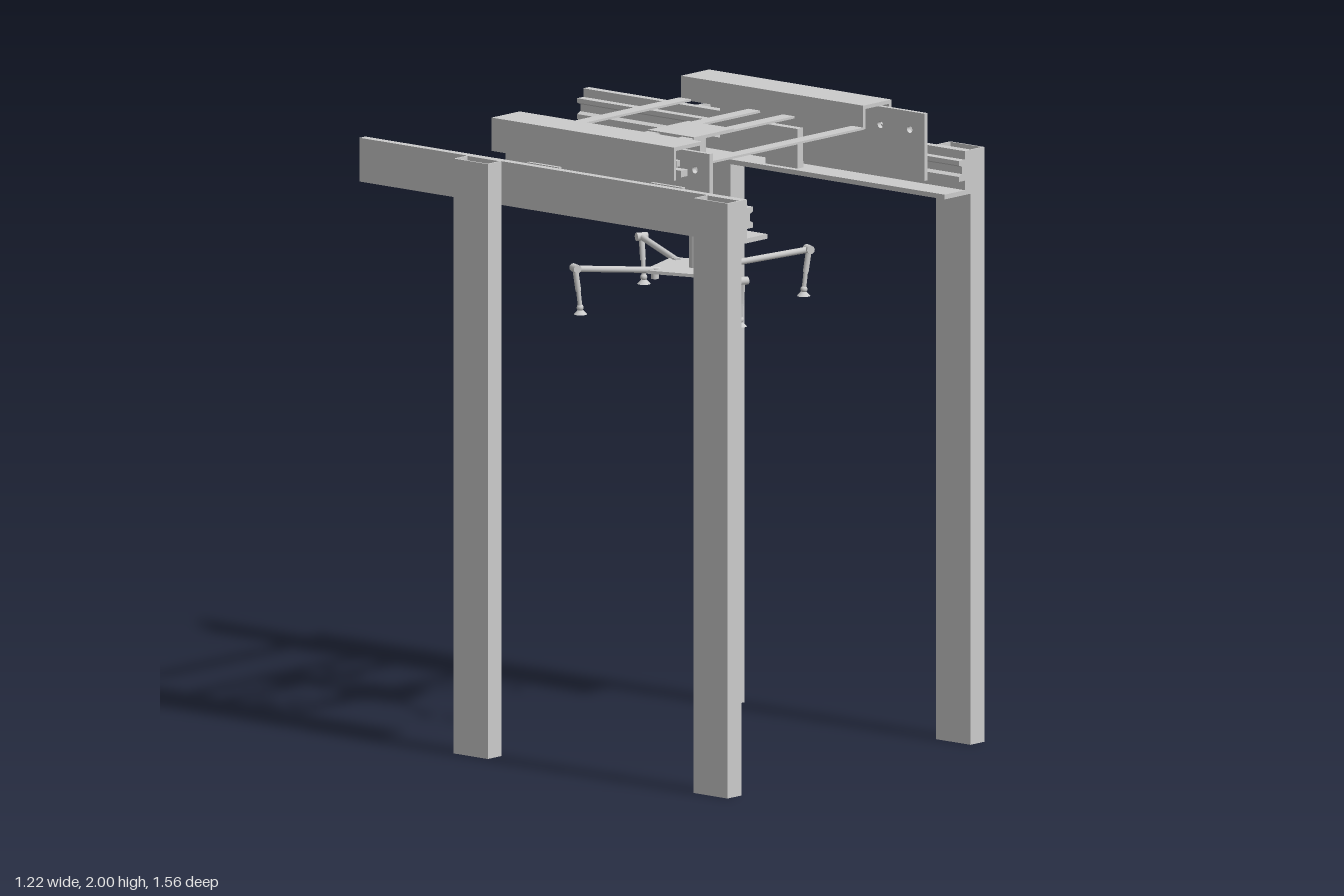
import * as THREE from 'three';

const mat = new THREE.MeshStandardMaterial({ color: 0xcccccc, side: THREE.DoubleSide });

export function createModel() {
  const root = new THREE.Group();

  const add = (name, geo, parent = root) => {
    const m = new THREE.Mesh(geo, mat);
    m.name = name;
    parent.add(m);
    return m;
  };
  // Box given by its extents on each axis
  const box = (name, x0, x1, y0, y1, z0, z1, parent) => {
    const m = add(name, new THREE.BoxGeometry(Math.abs(x1 - x0), y1 - y0, z1 - z0), parent);
    m.position.set((x0 + x1) / 2, (y0 + y1) / 2, (z0 + z1) / 2);
    return m;
  };
  const shapeOf = pts => new THREE.Shape(pts.map(p => new THREE.Vector2(p[0], p[1])));
  const extrude = (shape, depth) =>
    new THREE.ExtrudeGeometry(shape, { depth, bevelEnabled: false, curveSegments: 16 });
  // Upright cylinder between two heights
  const post = (name, r, y0, y1, x, z, parent, r2 = r) => {
    const m = add(name, new THREE.CylinderGeometry(r, r2, y1 - y0, 24), parent);
    m.position.set(x, (y0 + y1) / 2, z);
    return m;
  };
  // Round bar between two points
  const bar = (name, a, b, r, parent) => {
    const va = new THREE.Vector3(...a), vb = new THREE.Vector3(...b);
    const d = vb.clone().sub(va);
    const m = add(name, new THREE.CylinderGeometry(r, r, d.length(), 16), parent);
    m.position.copy(va).add(vb).multiplyScalar(0.5);
    m.quaternion.setFromUnitVectors(new THREE.Vector3(0, 1, 0), d.normalize());
    return m;
  };
  const rect = (x0, x1, y0, y1) => [[x0, y0], [x1, y0], [x1, y1], [x0, y1]];

  // Hollow legs, open at both ends
  for (const s of [-1, 1]) for (const z of [-0.34, 0.64]) {
    const t = 0.006;
    const sh = shapeOf(rect(-0.033, 0.033, -0.07, 0.07));
    sh.holes.push(shapeOf(rect(-0.033 + t, 0.033 - t, -0.07 + t, 0.07 - t)));
    const leg = add('leg', extrude(sh, 1.875));
    leg.rotation.x = -Math.PI / 2;
    leg.position.set(s * 0.575, 0, z + 0.07);
  }

  // Rail: outer web, bottom flange and grooved guide strip
  const railProfile = [
    [0.543, 1.737], [0.42, 1.737], [0.42, 1.752], [0.516, 1.752], [0.516, 1.782],
    [0.487, 1.782], [0.487, 1.798], [0.502, 1.805], [0.502, 1.827], [0.487, 1.834],
    [0.487, 1.848], [0.516, 1.848], [0.516, 1.875], [0.543, 1.875],
  ];
  // Channel cover, open underneath and at its ends
  const coverProfile = [
    [0.515, 1.895], [0.515, 2], [0.382, 2], [0.382, 1.925],
    [0.392, 1.925], [0.392, 1.988], [0.504, 1.988], [0.504, 1.895],
  ];

  for (const s of [-1, 1]) {
    const side = new THREE.Group();
    side.name = s > 0 ? 'leftCarriage' : 'rightCarriage';
    root.add(side);
    const mirrored = pts => shapeOf(pts.map(([x, y]) => [s * x, y]));

    add('rail', extrude(mirrored(railProfile), 1.56), side).position.z = -0.78;
    add('cover', extrude(mirrored(coverProfile), 0.745), side).position.z = -0.265;

    // Upright sliding plate with bolt holes, staggered between the sides
    const z1 = s > 0 ? 0.665 : 0.59, z0 = z1 - 0.835;
    const plate = shapeOf(rect(-z1, -z0, 1.775, 1.987));
    for (const z of [z1 - 0.06, z1 - 0.18, z0 + 0.06]) {
      const hole = new THREE.Path();
      hole.absarc(-z, 1.93, 0.011, 0, Math.PI * 2);
      plate.holes.push(hole);
    }
    const p = add('slidingPlate', extrude(plate, 0.016), side);
    p.rotation.y = Math.PI / 2;
    p.position.x = s * 0.465 - 0.008;

    // Slide bars outside the plate and bearing blocks on the guide
    box('slideBar', s * 0.473, s * 0.505, 1.907, 1.928, -0.26, z1 - 0.09, side);
    box('upperSlideBar', s * 0.473, s * 0.49, 1.934, 1.953, -0.26, 0.47, side);
    for (const z of [z0 + 0.1, z1 - 0.23])
      box('bearing', s * 0.472, s * 0.486, 1.78, 1.87, z, z + 0.13, side);
    box('driveBlock', s * 0.43, s * 0.458, 1.755, 1.88, 0.04, 0.17, side);
    box('coverBracket', s * 0.43, s * 0.458, 1.975, 1.99, -0.2, 0.42, side);
  }

  // Flat cross bars joining the covers
  for (const z of [-0.2475, 0.035, 0.175, 0.4575])
    box('crossBar', -0.383, 0.383, 1.924, 1.931, z - 0.0235, z + 0.0235);

  // Lift: mounting plate, sleeve and piston rod
  box('liftPlate', -0.095, 0.095, 1.927, 1.935, 0.012, 0.2);
  const cz = 0.11;
  const wall = [[0.034, 1.72], [0.034, 1.695], [0.043, 1.695], [0.043, 1.927]];
  const sleeve = add('liftSleeve', new THREE.LatheGeometry(
    [[0, 1.72], ...wall].map(q => new THREE.Vector2(q[0], q[1])), 32));
  sleeve.geometry = sleeve.geometry.toNonIndexed();
  sleeve.geometry.computeVertexNormals();
  sleeve.position.z = cz;
  post('pistonRod', 0.021, 1.5, 1.67, 0, 0.125);

  // Gripper: square plate with four identical arms
  const gripper = new THREE.Group();
  gripper.name = 'gripper';
  gripper.position.z = cz;
  root.add(gripper);
  const base = add('gripperPlate', extrude(
    shapeOf([[0.075, 0.147], [-0.147, 0.075], [-0.075, -0.147], [0.147, -0.075]]), 0.01), gripper);
  base.rotation.x = -Math.PI / 2;
  base.position.y = 1.493;
  for (let i = 0; i < 4; i++) {
    const arm = new THREE.Group();
    arm.name = 'gripperArm';
    arm.rotation.y = -Math.atan2(0.355, 0.172) * -1 + i * Math.PI / 2;
    gripper.add(arm);
    // Arm runs along local +x, then a foot hangs from its tip
    bar('armRod', [0.11, 1.5, 0], [0.395, 1.526, 0], 0.01, arm);
    bar('armJoint', [0.393, 1.527, -0.018], [0.393, 1.527, 0.018], 0.013, arm);
    bar('footRod', [0.393, 1.52, 0], [0.383, 1.455, 0], 0.009, arm);
    bar('footStem', [0.383, 1.455, 0], [0.376, 1.395, 0], 0.007, arm);
    add('footBall', new THREE.SphereGeometry(0.011, 16, 10), arm).position.set(0.377, 1.402, 0);
    post('footPad', 0.009, 1.381, 1.394, 0.376, 0, arm, 0.021);
    post('armPivot', 0.012, 1.474, 1.508, 0.125, 0, arm);
  }
  return root;
}
